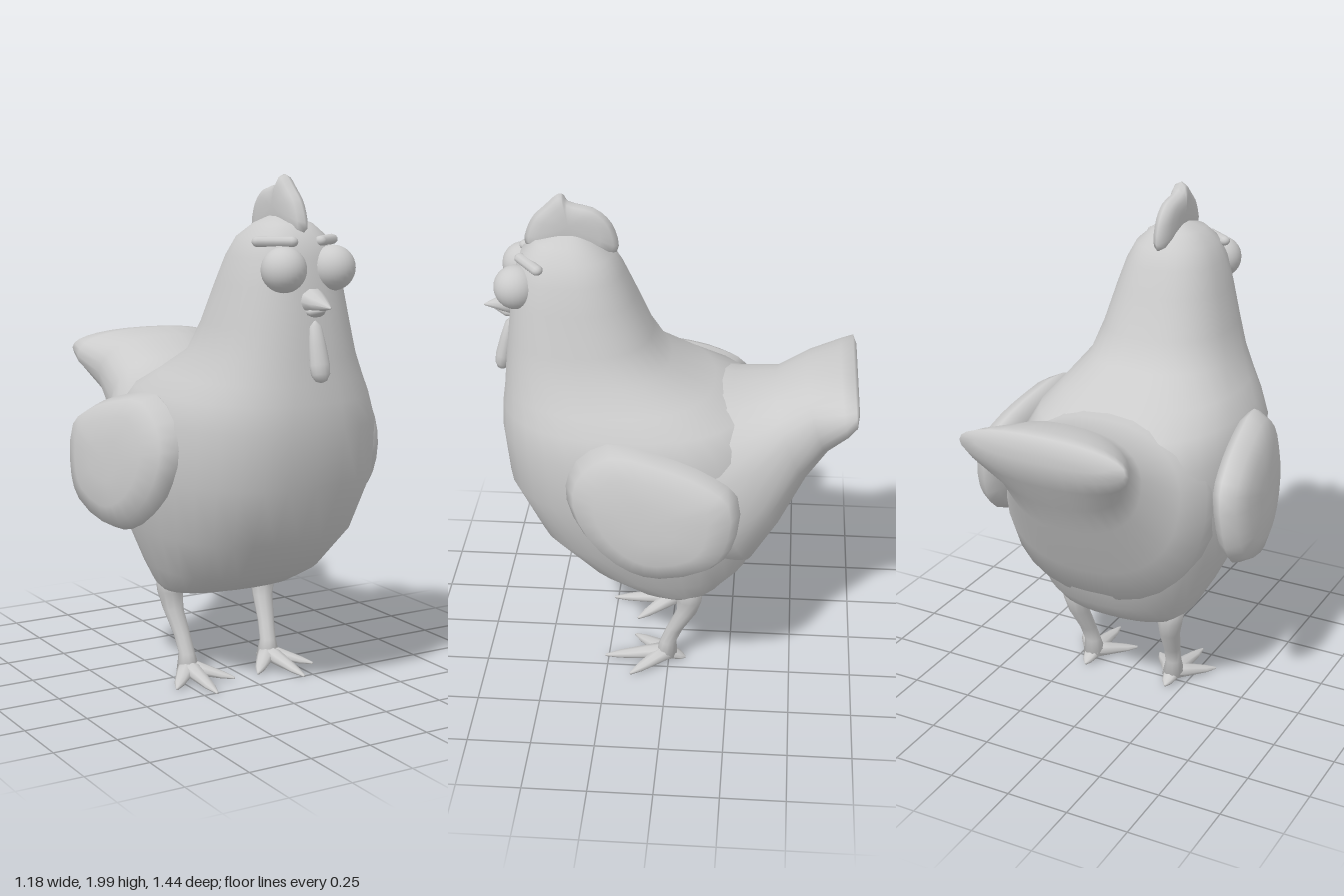
import * as THREE from 'three';

const material = new THREE.MeshStandardMaterial({ color: 0xcccccc });
const V = (x, y, z) => new THREE.Vector3(x, y, z);

function addMesh(parent, name, geometry) {
  const mesh = new THREE.Mesh(geometry, material);
  mesh.name = name;
  parent.add(mesh);
  return mesh;
}

// Closed skin over a list of rings with equal point counts, capped at both ends.
function loft(rings) {
  const n = rings[0].length, pts = rings.flat(), index = [];
  for (let r = 0; r < rings.length - 1; r++) {
    for (let i = 0; i < n; i++) {
      const a = r * n + i, b = r * n + (i + 1) % n;
      index.push(a, b, b + n, a, b + n, a + n);
    }
  }
  [0, rings.length - 1].forEach((r, end) => {
    const c = V(0, 0, 0);
    rings[r].forEach(p => c.addScaledVector(p, 1 / n));
    const k = pts.push(c) - 1;
    for (let i = 0; i < n; i++) {
      const a = r * n + i, b = r * n + (i + 1) % n;
      index.push(...(end ? [a, b, k] : [b, a, k]));
    }
  });
  // Turn the faces outward when the enclosed volume is negative.
  let volume = 0;
  for (let i = 0; i < index.length; i += 3) {
    const [a, b, c] = [0, 1, 2].map(j => pts[index[i + j]]);
    volume += a.dot(b.clone().cross(c));
  }
  if (volume < 0) index.reverse();
  const geometry = new THREE.BufferGeometry().setFromPoints(pts);
  geometry.setIndex(index);
  geometry.computeVertexNormals();
  return geometry;
}

// n points around a superellipse; place(u, v) maps the unit outline into space.
function ring(n, power, place) {
  const bend = t => Math.sign(t) * Math.abs(t) ** power;
  return Array.from({ length: n }, (_, i) => {
    const a = i / n * Math.PI * 2;
    return place(bend(Math.cos(a)), bend(Math.sin(a)));
  });
}

// Puffy pad with a [z, y] outline; midX gives its middle plane.
function pad(outline, inner, outer, side, midX, count) {
  const curve = new THREE.CatmullRomCurve3(outline.map(([z, y]) => V(0, y, z)), true);
  const edge = curve.getPoints(count).slice(0, count);
  const centre = V(0, 0, 0);
  edge.forEach(p => centre.addScaledVector(p, 1 / count));
  const steps = [[0.3, -0.98], [0.65, -0.88], [0.9, -0.58], [1, 0], [0.9, 0.58], [0.65, 0.88], [0.3, 0.98]];
  return loft(steps.map(([s, h]) => edge.map(p => {
    const q = centre.clone().lerp(p, s);
    q.x = side * (midX(q.z, q.y) + h * (h < 0 ? inner : outer));
    return q;
  })));
}

// Round limb through [x, y, z, radius] stations, with horizontal sections.
const limb = stations => loft(stations.map(([x, y, z, r]) =>
  ring(10, 1, (u, v) => V(x + u * r, y, z + v * r))));

function buildBody(group) {
  // [height, front z, back z, half width]
  const sections = [
    [0.345, 0.03, -0.17, 0.2], [0.36, 0.1, -0.2, 0.26], [0.39, 0.2, -0.24, 0.29],
    [0.47, 0.36, -0.32, 0.33], [0.64, 0.53, -0.4, 0.405], [0.87, 0.64, -0.44, 0.455],
    [1.08, 0.66, -0.41, 0.45], [1.18, 0.655, -0.32, 0.405], [1.25, 0.645, -0.17, 0.355],
    [1.34, 0.637, 0, 0.295], [1.45, 0.625, 0.07, 0.26], [1.6, 0.607, 0.135, 0.22],
    [1.7, 0.59, 0.18, 0.19], [1.77, 0.565, 0.22, 0.155], [1.82, 0.51, 0.29, 0.1],
    [1.845, 0.43, 0.34, 0.04]
  ];
  addMesh(group, 'body', loft(sections.map(([y, f, b, w]) =>
    ring(32, 0.84, (u, v) => V(u * w, y, (f + b) / 2 + v * (f - b) / 2)))));

  // [upper z, upper y, lower z, lower y, half width], flaring toward the end
  const tail = [
    [0.06, 1.26, -0.2, 0.5, 0.42], [-0.1, 1.255, -0.34, 0.52, 0.425],
    [-0.24, 1.23, -0.44, 0.68, 0.37], [-0.4, 1.25, -0.545, 0.89, 0.28],
    [-0.52, 1.315, -0.62, 1.02, 0.285], [-0.65, 1.332, -0.69, 1.13, 0.335],
    [-0.7, 1.33, -0.717, 1.19, 0.34], [-0.715, 1.3, -0.722, 1.235, 0.27]
  ];
  addMesh(group, 'tail', loft(tail.map(([uz, uy, lz, ly, w]) =>
    ring(28, 0.87, (u, v) => V(u * w, (uy + ly) / 2 + v * (uy - ly) / 2, (uz + lz) / 2 + v * (uz - lz) / 2)))));
}

function buildFace(group) {
  const comb = [[0.206, 1.77], [0.215, 1.87], [0.275, 1.937], [0.385, 1.968],
    [0.41, 1.998], [0.47, 1.95], [0.525, 1.89], [0.547, 1.79], [0.4, 1.77]];
  addMesh(group, 'comb', pad(comb, 0.038, 0.038, 1, () => 0, 30));

  // Beak: [z, centre y, half width, half height]
  const upper = [[0.56, 1.552, 0.055, 0.05], [0.61, 1.549, 0.055, 0.046], [0.65, 1.543, 0.04, 0.03], [0.72, 1.533, 0.003, 0.003]];
  const lower = [[0.56, 1.515, 0.042, 0.025], [0.635, 1.514, 0.036, 0.021], [0.675, 1.522, 0.01, 0.008]];
  for (const [name, rows] of [['upperBeak', upper], ['lowerBeak', lower]]) {
    addMesh(group, name, loft(rows.map(([z, y, w, h]) => ring(10, 1, (u, v) => V(u * w, y + v * h, z)))));
  }

  // Wattle hanging under the beak
  const drop = [[0, -0.115], [0.022, -0.108], [0.037, -0.085], [0.04, -0.05], [0.034, 0.02], [0.024, 0.09], [0, 0.115]];
  const wattle = addMesh(group, 'wattle', new THREE.LatheGeometry(drop.map(p => new THREE.Vector2(...p)), 14));
  wattle.position.set(0, 1.372, 0.642);
  wattle.rotation.x = -0.22;
  wattle.scale.z = 0.8;

  for (const side of [1, -1]) {
    const label = side > 0 ? 'left' : 'right';
    addMesh(group, label + 'Eye', new THREE.SphereGeometry(0.083, 24, 16))
      .position.set(side * 0.105, 1.663, 0.575);
    const brow = addMesh(group, label + 'Brow', new THREE.CapsuleGeometry(0.023, 0.122, 4, 10));
    brow.geometry.rotateZ(Math.PI / 2);
    brow.position.set(side * 0.11, 1.76, 0.522);
    brow.scale.y = 0.85;
    brow.rotation.y = side * 0.65;
  }
}

function buildSide(group, side) {
  const label = side > 0 ? 'left' : 'right';
  // Wing, leaning outward toward its back and bottom
  const wing = [[0.21, 1.19], [0.0, 1.165], [-0.18, 1.105], [-0.28, 1.03], [-0.27, 0.84],
    [-0.2, 0.73], [0.02, 0.655], [0.16, 0.685], [0.3, 0.8], [0.37, 0.96], [0.34, 1.09]];
  addMesh(group, label + 'Wing', pad(wing, 0.065, 0.095, side,
    (z, y) => 0.475 - 0.13 * (z - 0.04) - 0.1 * (y - 0.93), 26));

  addMesh(group, label + 'Leg', limb([
    [0.22 * side, 0.42, -0.08, 0.06], [0.217 * side, 0.34, -0.087, 0.052], [0.21 * side, 0.27, -0.075, 0.042],
    [0.197 * side, 0.17, -0.025, 0.034], [0.19 * side, 0.1, 0.002, 0.033], [0.187 * side, 0.03, 0.01, 0.048]]));

  // Toes: tapered, flattened spikes from the ankle to [x, y, z]
  const toes = [[0.2, 0.012, 0.265], [0.315, 0.014, 0.15], [0.055, 0.014, 0.15], [0.187, 0.012, -0.07]];
  toes.forEach(([x, y, z], i) => {
    const start = V(0.187 * side, 0.045, 0.005), end = V(x * side, y, z);
    const across = V(end.z - start.z, 0, start.x - end.x).normalize();
    const stations = [[0, 0.042, 0.032], [0.35, 0.033, 0.024], [0.75, 0.022, 0.014], [1, 0.005, 0.005]];
    addMesh(group, label + 'Toe' + (i + 1), loft(stations.map(([t, w, h]) => ring(8, 1, (u, v) => {
      const p = start.clone().lerp(end, t).addScaledVector(across, u * w);
      p.y = Math.max(0, p.y + v * h);
      return p;
    }))));
  });
}

export function createModel() {
  const group = new THREE.Group();
  group.name = 'hen';
  buildBody(group);
  buildFace(group);
  buildSide(group, 1);
  buildSide(group, -1);
  return group;
}
